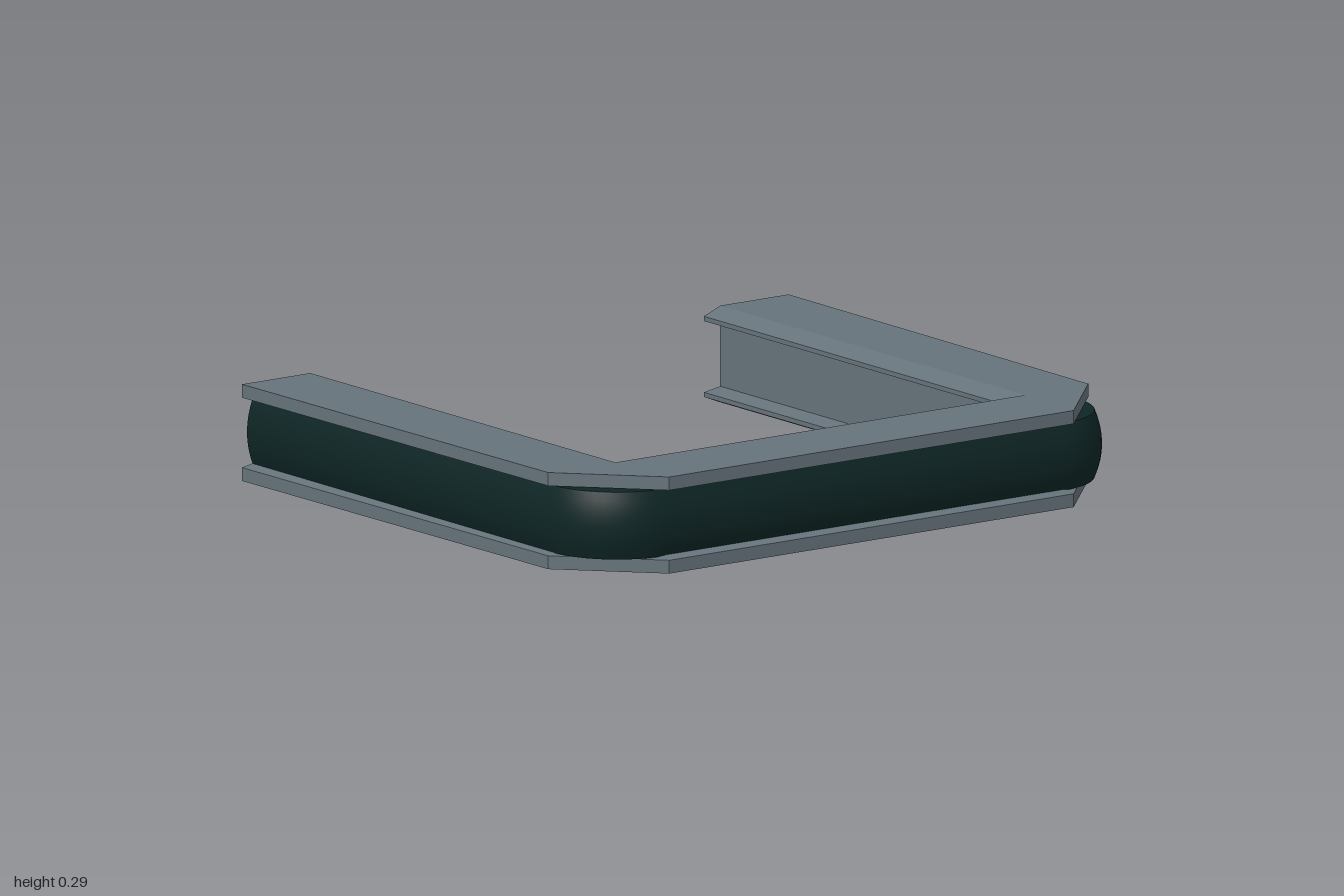
import * as THREE from 'three';
import { toCreasedNormals } from 'three/addons/utils/BufferGeometryUtils.js';

const X = 1, FRONT = 0.87, BACK = -0.87;

// Sweep a closed profile of [depth inward, y] round a U; half(d) gives the [x, z] stations of the +x half
function sweepU(profile, half, crease) {
  const rows = profile.map(([d, y]) => {
    const pts = half(d);
    const mirrored = pts.map(([x, z]) => [-x, z]).reverse();
    return [...pts, ...mirrored].map(([x, z]) => new THREE.Vector3(x, y, z));
  });
  const pos = [];
  const tri = (a, b, c) => {
    if (new THREE.Triangle(a, b, c).getArea() < 1e-7) return;
    for (const v of [a, b, c]) pos.push(v.x, v.y, v.z);
  };
  const n = rows.length, last = rows[0].length - 1;
  for (let j = 0; j < n; j++) {
    const p = rows[j], q = rows[(j + 1) % n];
    for (let i = 0; i < last; i++) {
      tri(p[i], q[i], q[i + 1]);
      tri(p[i], q[i + 1], p[i + 1]);
    }
  }
  // end caps
  const outline = profile.map(([d, y]) => new THREE.Vector2(-d, y));
  for (const [a, b, c] of THREE.ShapeUtils.triangulateShape(outline, [])) {
    tri(rows[c][0], rows[b][0], rows[a][0]);
    tri(rows[a][last], rows[b][last], rows[c][last]);
  }
  const geo = new THREE.BufferGeometry();
  geo.setAttribute('position', new THREE.Float32BufferAttribute(pos, 3));
  return toCreasedNormals(geo, crease);
}

function part(name, geometry, color) {
  const mesh = new THREE.Mesh(geometry, new THREE.MeshStandardMaterial({ color }));
  mesh.name = name;
  return mesh;
}

export function createModel() {
  const group = new THREE.Group();
  group.name = 'bumperFrame';

  // I-section frame: chamfered outer corners, mitred inner corners, legs flaring slightly to the back
  const beam = [
    [0, 0.29], [0.25, 0.29], [0.31, 0.266], [0.31, 0.252], [0.25, 0.242],
    [0.25, 0.048], [0.31, 0.038], [0.31, 0.024], [0.25, 0], [0, 0],
    [0, 0.04], [0.04, 0.048], [0.04, 0.242], [0, 0.25],
  ];
  const beamPath = (d) => {
    const cut = d < 0.2 ? 0.26 - 0.586 * d : 0;
    const taper = d < 0.2 ? 0.012 : 0;
    return [
      [X - d, BACK],
      [X - d - taper, FRONT - d - cut],
      [X - d - cut, FRONT - d],
    ];
  };
  group.add(part('frame', sweepU(beam, beamPath, 0.2), 0x66737b));

  // Rubber strip: bulged outer face, rounded corners
  const strip = [[0.15, 0.246]];
  strip.push([0.15, 0.044]);
  for (let i = 0; i <= 8; i++) {
    const t = i / 4 - 1;
    strip.push([0.017 + 0.022 * t * t, 0.145 + 0.101 * t]);
  }
  const radius = 0.27, steps = 12;
  const stripPath = (d) => {
    const pts = [[X - d, BACK + 0.002]];
    for (let i = 0; i <= steps; i++) {
      const a = (i / steps) * Math.PI / 2;
      pts.push([
        X - radius + (radius - d) * Math.cos(a),
        FRONT - radius + (radius - d) * Math.sin(a),
      ]);
    }
    return pts;
  };
  group.add(part('rubberStrip', sweepU(strip, stripPath, 0.6), 0x0f2626));

  return group;
}
